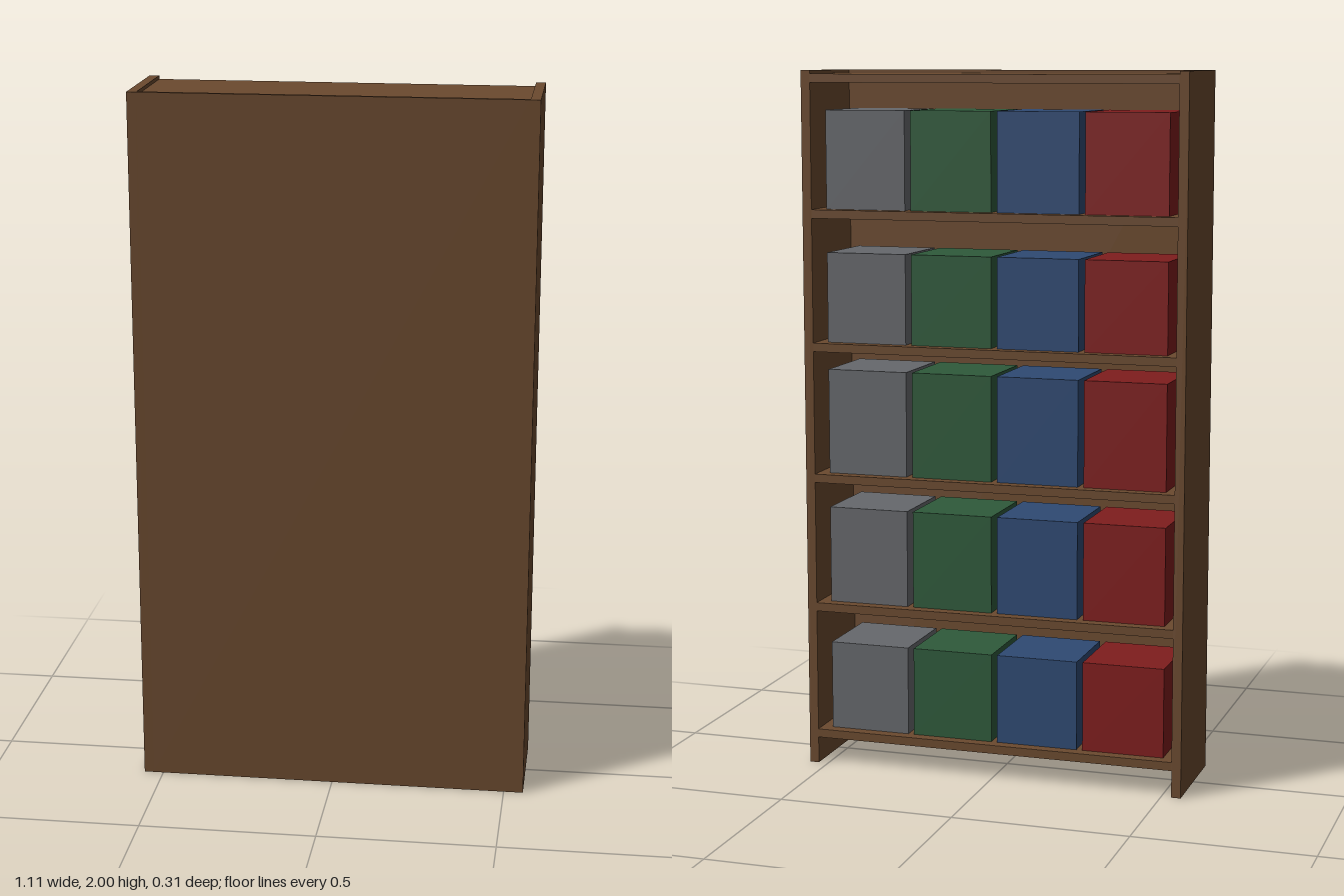
import * as THREE from 'three';

const W = 1.111, H = 2, D = 0.311;      // overall size
const SIDE = 0.027, BACK = 0.0133, SHELF = 0.0244;

const material = (name, color) => {
  const m = new THREE.MeshStandardMaterial({ color });
  m.name = name;
  return m;
};

function box(parent, name, mat, size, pos) {
  const mesh = new THREE.Mesh(new THREE.BoxGeometry(...size), mat);
  mesh.name = name;
  mesh.position.set(...pos);
  parent.add(mesh);
  return mesh;
}

export function createModel() {
  const model = new THREE.Group();
  model.name = 'bookcase';
  const wood = material('brown wood', 0x6b4a2f);
  const covers = [
    material('red cover', 0x7f1d1d),
    material('blue cover', 0x2f4a73),
    material('green cover', 0x2f5a3b),
    material('grey cover', 0x66686c),
  ];

  // Carcass: two sides and a full-height panel; the open face is at -z
  const innerW = W - 2 * SIDE;
  for (const [name, s] of [['leftSide', 1], ['rightSide', -1]]) {
    box(model, name, wood, [SIDE, H, D], [s * (W - SIDE) / 2, H / 2, 0]);
  }
  box(model, 'panel', wood, [innerW, H, BACK], [0, H / 2, (D - BACK) / 2]);

  // Six boards, the last one being the top, with books on the lower five
  const pitch = 0.3778, firstY = 0.0889;
  for (let i = 0; i < 6; i++) {
    const y = firstY + i * pitch;
    box(model, i < 5 ? 'shelf' : 'topBoard', wood, [innerW, SHELF, D - BACK], [0, y, -BACK / 2]);
    if (i === 5) break;

    const row = new THREE.Group();
    row.name = 'bookRow';
    model.add(row);
    const h = 0.2556 + 0.0222 * (i % 3);
    covers.forEach((mat, j) => {
      box(row, 'bookBlock', mat, [0.235, h, 0.244], [(j - 1.5) * 0.2525, y + SHELF / 2 + h / 2, 0]);
    });
  }
  return model;
}
